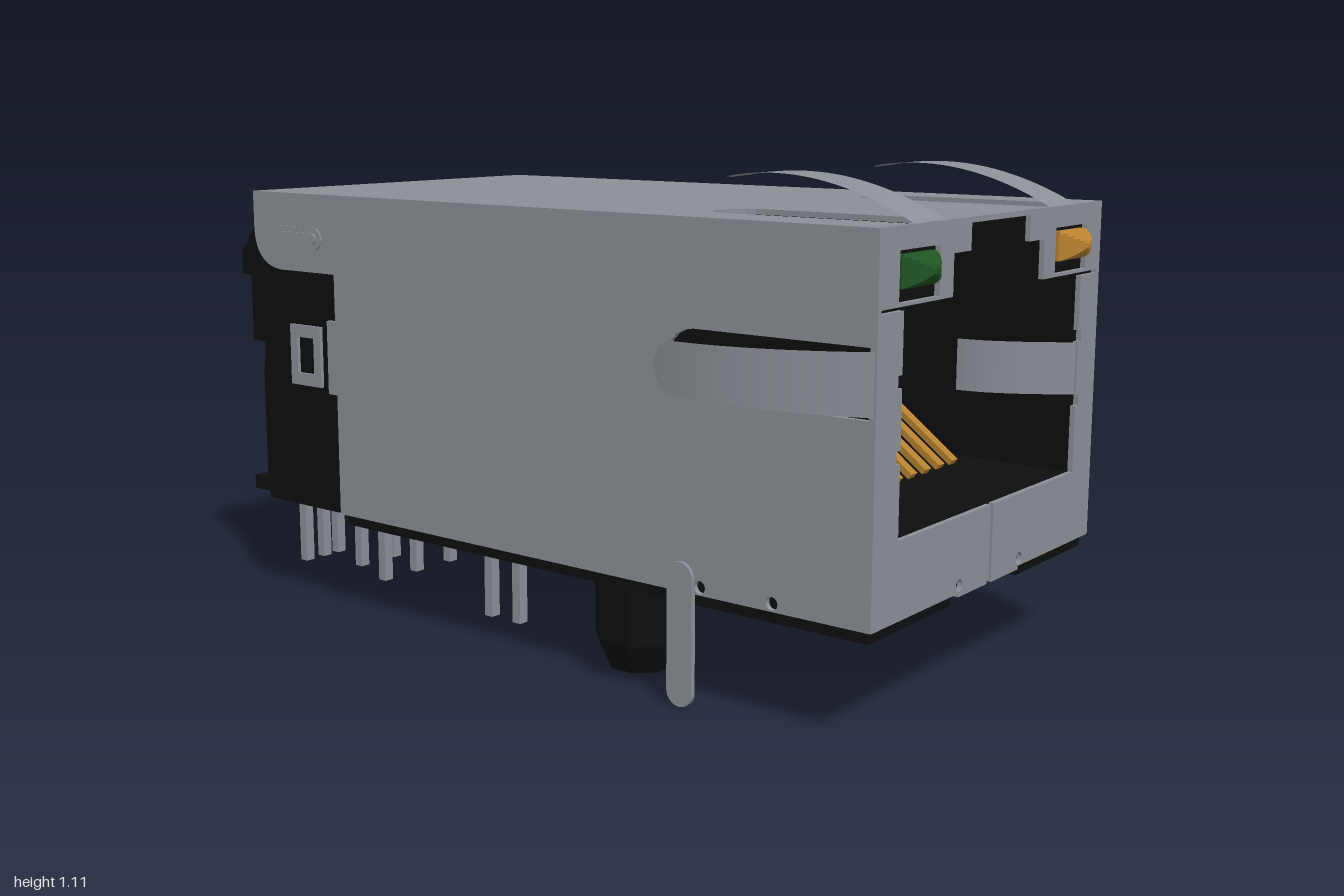
import * as THREE from 'three';

export function createModel() {
  const model = new THREE.Group();
  const mat = (name, color, side = THREE.FrontSide) => {
    const m = new THREE.MeshStandardMaterial({ color, side });
    m.name = name;
    return m;
  };
  const steel = mat('steel', 0x8b8f96, THREE.DoubleSide);
  const black = mat('blackPlastic', 0x0e0e0e);
  const gold = mat('goldContact', 0xb5812f);
  const green = mat('greenLamp', 0x1f5424);
  const amber = mat('amberLamp', 0xb9822f);

  const add = (name, geo, material, x = 0, y = 0, z = 0) => {
    const m = new THREE.Mesh(geo, material);
    m.name = name;
    m.position.set(x, y, z);
    model.add(m);
    return m;
  };
  // Box from its minimum and maximum corners
  const box = (name, material, x0, x1, y0, y1, z0, z1) =>
    add(name, new THREE.BoxGeometry(x1 - x0, y1 - y0, z1 - z0), material,
      (x0 + x1) / 2, (y0 + y1) / 2, (z0 + z1) / 2);
  const poly = (pts, Type = THREE.Shape) => new Type(pts.map(p => new THREE.Vector2(p[0], p[1])));
  const extrude = (shape, depth) =>
    new THREE.ExtrudeGeometry(shape, { depth, bevelEnabled: false, curveSegments: 10 });
  // Extrusion of a (z, y) outline; depth runs towards -x from x = 0
  const sideExtrude = (shape, depth) => extrude(shape, depth).rotateY(-Math.PI / 2);
  const circle = (x, y, r) => new THREE.Path().absarc(x, y, r, 0, Math.PI * 2);
  // U-shaped opening running along v, open end square, far end round
  const slot = (cx, r, from, to, alongX) => {
    const pts = [[-r, from], [r, from]];
    for (let i = 0; i <= 10; i++) {
      const a = i * Math.PI / 10;
      pts.push([Math.cos(a) * r, to + r - Math.sin(a) * r]);
    }
    return poly(pts.map(([u, v]) => alongX ? [v, cx + u] : [cx + u, v]), THREE.Path);
  };
  const capsule = (len, w) => {
    const h = len / 2 - w / 2, s = new THREE.Shape();
    s.absarc(h, 0, w / 2, -Math.PI / 2, Math.PI / 2);
    s.absarc(-h, 0, w / 2, Math.PI / 2, Math.PI * 1.5);
    return s;
  };
  // Curved strip running back along -z, with height and half width as functions of t
  const ribbon = (length, width, height) => {
    const g = new THREE.PlaneGeometry(1, 1, 4, 24), p = g.attributes.position;
    for (let i = 0; i < p.count; i++) {
      const t = p.getY(i) + 0.5;
      p.setXYZ(i, p.getX(i) * 2 * width(t), height(t), -length * t);
    }
    g.computeVertexNormals();
    return g;
  };

  // Shell roof with two spring openings
  const roof = poly([[-0.485, -0.84], [0.485, -0.84], [0.485, 0.96], [-0.485, 0.96]]);
  for (const s of [-1, 1]) roof.holes.push(slot(s * 0.29, 0.07, 0.945, 0.45, false));
  add('shellRoof', extrude(roof, 0.012).rotateX(Math.PI / 2), steel, 0, 1.035, 0);

  // Shell sides with spring opening and rounded rear ear
  const wall = new THREE.Shape();
  wall.moveTo(0.96, 0.255);
  wall.lineTo(-0.55, 0.255);
  wall.lineTo(-0.55, 0.845);
  wall.lineTo(-0.74, 0.845);
  wall.quadraticCurveTo(-0.835, 0.85, -0.84, 0.94);
  wall.lineTo(-0.84, 1.035);
  wall.lineTo(0.96, 1.035);
  wall.holes.push(slot(0.74, 0.07, 0.945, 0.46, true), circle(0.73, 0.272, 0.014), circle(0.55, 0.272, 0.014));
  for (const s of [-1, 1])
    add('shellSide', sideExtrude(wall, 0.012), steel, s > 0 ? 0.485 : -0.473);

  // Front plate: a lower half with tab notches and an upper half with a lamp window
  const lower = [[0.006, 0.255], [0.485, 0.255], [0.485, 0.872], [0.39, 0.872], [0.39, 0.748],
    [0.405, 0.748], [0.405, 0.722], [0.39, 0.722], [0.39, 0.6], [0.405, 0.6], [0.405, 0.574],
    [0.39, 0.574], [0.39, 0.42], [0.006, 0.42]];
  const upper = [[0.2, 0.88], [0.485, 0.88], [0.485, 1.035], [0, 1.035], [0, 1.025],
    [0.13, 1.025], [0.13, 0.967], [0.2, 0.967]];
  const lamp = [[0.255, 0.887], [0.41, 0.887], [0.41, 0.988], [0.255, 0.988]];
  for (const s of [-1, 1]) {
    const flip = pts => pts.map(([x, y]) => [x * s, y]);
    const lo = poly(flip(lower)), up = poly(flip(upper));
    lo.holes.push(circle(s * 0.135, 0.272, 0.014));
    up.holes.push(poly(flip(lamp), THREE.Path));
    add('frontPlateLower', extrude(lo, 0.012), steel, 0, 0, 0.948);
    add('frontPlateUpper', extrude(up, 0.012), steel, 0, 0, 0.948);
  }

  // Main housing with the socket cavity
  const body = poly([[-0.472, 0.255], [0.472, 0.255], [0.472, 1.022], [-0.472, 1.022]]);
  body.holes.push(poly([[-0.39, 0.42], [0.39, 0.42], [0.39, 0.872], [0.2, 0.872], [0.2, 0.967],
    [0.13, 0.967], [0.13, 1.015], [-0.13, 1.015], [-0.13, 0.967], [-0.2, 0.967], [-0.2, 0.872],
    [-0.39, 0.872]], THREE.Path));
  add('socketHousing', extrude(body, 0.7), black, 0, 0, 0.247);
  box('innerHousing', black, -0.472, 0.472, 0.255, 1.022, -0.555, 0.247);
  box('housingFloor', black, -0.472, 0.472, 0.228, 0.256, -0.54, 0.8);

  // Spring contacts
  const taper = t => 0.063 * (1 - 0.15 * t) * Math.sqrt(1 - Math.pow(Math.max(0, (t - 0.88) / 0.12), 2));
  const bow = t => 0.085 * (1 - Math.pow((t - 0.7) / 0.7, 2));
  const spring = ribbon(0.475, taper, bow);
  const innerTab = ribbon(0.24, () => 0.06, t => 0.11 * Math.sin(t * Math.PI / 2));
  for (const s of [-1, 1]) {
    add('roofSpring', spring, steel, s * 0.29, 1.035, 0.955);
    add('sideSpring', spring, steel, s * 0.485, 0.74, 0.955).rotation.z = -s * Math.PI / 2;
    add('innerSpringTab', innerTab, steel, s * 0.39, 0.66, 0.955).rotation.z = s * Math.PI / 2;
  }

  // Faceted lamps
  const lens = new THREE.PlaneGeometry(0.13, 0.066, 12, 12);
  const lp = lens.attributes.position;
  for (let i = 0; i < lp.count; i++) {
    const m = Math.max(Math.abs(lp.getX(i)) / 0.065, Math.abs(lp.getY(i)) / 0.033);
    lp.setZ(i, 0.04 * (1 - m * m));
  }
  const facets = lens.toNonIndexed();
  facets.computeVertexNormals();
  for (const [s, m] of [[-1, green], [1, amber]]) {
    add('lampLens', facets, m, s * 0.337, 0.946, 0.96);
    box('lampBase', m, s * 0.337 - 0.065, s * 0.337 + 0.065, 0.913, 0.979, 0.93, 0.959);
  }

  // Eight sloped contacts
  for (let i = 0; i < 8; i++)
    add('contact', new THREE.BoxGeometry(0.026, 0.014, 0.3), gold, (i - 3.5) * 0.061, 0.535, 0.63)
      .rotation.x = 0.6435;

  // Rear insert and its base
  box('rearInsert', black, -0.465, 0.465, 0.25, 1.02, -0.84, -0.578);
  box('rearWall', black, -0.41, 0.41, 0.25, 0.99, -0.885, -0.84);
  box('rearBase', black, -0.42, 0.42, 0.25, 0.28, -0.915, -0.84);

  const rearBlock = poly([[-0.84, 1.03], [-1, 0.87], [-1, 0.81], [-0.965, 0.81], [-0.965, 0.64], [-0.84, 0.64]]);
  const rearLeg = poly([[-0.85, 0.64], [-0.92, 0.64], [-0.94, 0.57], [-0.94, 0.25], [-0.85, 0.25]]);
  const rearCheek = poly([[-0.84, 1.02], [-0.95, 0.91], [-0.95, 0.81], [-0.84, 0.81]]);
  const latch = poly([[-0.73, 0.56], [-0.62, 0.56], [-0.62, 0.71], [-0.73, 0.71]]);
  latch.holes.push(poly([[-0.705, 0.59], [-0.645, 0.59], [-0.645, 0.68], [-0.705, 0.68]], THREE.Path));
  for (const s of [-1, 1]) {
    add('rearBlock', sideExtrude(rearBlock, 0.23), black, s * 0.285 + 0.115);
    add('rearCheek', sideExtrude(rearCheek, 0.29), black, s * 0.272 + 0.145);
    for (const x of [0.21, 0.345])
      add('rearLeg', sideExtrude(rearLeg, 0.09), black, s * x + 0.045);
    box('rearFoot', black, s * 0.33 - 0.09, s * 0.33 + 0.09, 0.25, 0.285, -0.955, -0.85);

    // Side latch, rear flange and pressed rib
    add('latchFrame', sideExtrude(latch, 0.01), steel, s > 0 ? 0.474 : -0.464);
    box('rearFlange', steel, s * 0.475 - 0.006, s * 0.475 + 0.006, 0.55, 0.73, -0.585, -0.55);
    for (const [len, w, out] of [[0.18, 0.055, 0.004], [0.15, 0.028, 0.009]])
      add('pressedRib', sideExtrude(capsule(len, w), 0.012), steel,
        s > 0 ? 0.485 + out : -0.473 - out, 0.927, -0.68);

    // Ground tab
    add('groundTab', sideExtrude(capsule(0.315, 0.066).clone(), 0.012).rotateX(Math.PI / 2), steel,
      s > 0 ? 0.493 : -0.481, 0.163, 0.503);

    // Locating peg
    const r = 0.1 / Math.cos(Math.PI / 8);
    for (const [name, r0, y0, y1] of [['pegShaft', r, 0.1, 0.24], ['pegTip', r * 0.7, 0.03, 0.1]]) {
      const g = new THREE.CylinderGeometry(r, r0, y1 - y0, 8, 1, false, Math.PI / 8).toNonIndexed();
      g.computeVertexNormals();
      add(name, g, black, s * 0.375, (y0 + y1) / 2, 0.31);
    }

    // Front floor step and folded lip
    box('frontFloorStep', black, s * 0.31 - 0.162, s * 0.31 + 0.162, 0.228, 0.256, 0.8, 0.947);
    box('foldedLip', steel, s * 0.072 - 0.062, s * 0.072 + 0.062, 0.246, 0.256, 0.82, 0.958);

    // Solder pins
    const pins = [[0.345, -0.085], [0.345, -0.175], [0.062, -0.6], [0.185, -0.6], [0.295, -0.6],
      [0.125, -0.75], [0.24, -0.75], [0.185, -0.905], [0.235, -0.905], [0.295, -0.905]];
    for (const [x, z] of pins)
      box('solderPin', steel, s * x - 0.013, s * x + 0.013, 0.037, 0.26, z - 0.012, z + 0.012);
  }
  return model;
}
